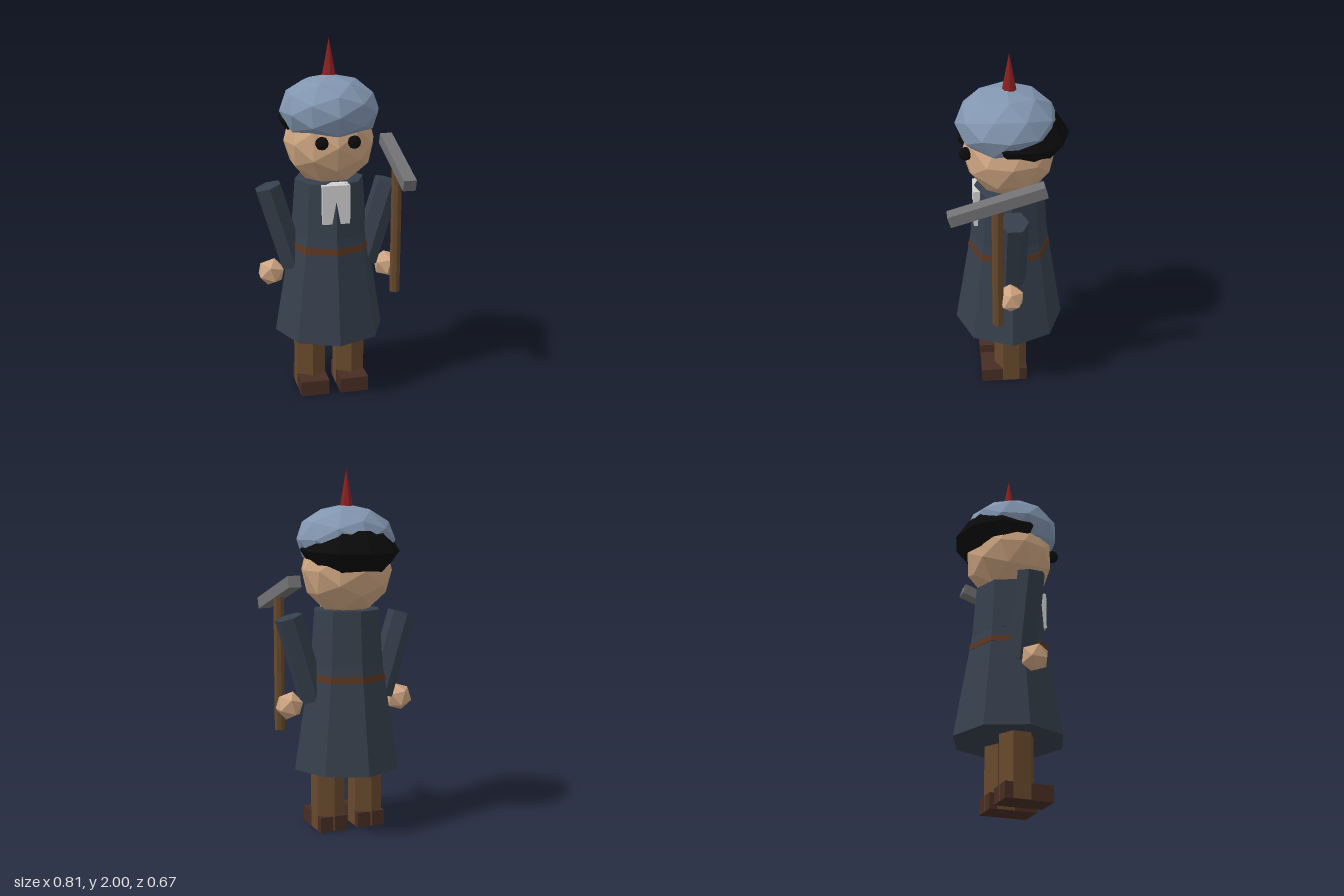
import * as THREE from 'three';

const mat = (name, color) => {
  const m = new THREE.MeshStandardMaterial({ color, flatShading: true });
  m.name = name;
  return m;
};

export function createModel() {
  const skin = mat('skin', 0xcfa682);
  const felt = mat('blue felt', 0x8296b0);
  const cloth = mat('dark coat cloth', 0x363f4c);
  const brown = mat('brown', 0x67492c);
  const leather = mat('shoe leather', 0x472d23);
  const strap = mat('belt leather', 0x59351f);
  const steel = mat('steel', 0x727274);
  const linen = mat('linen', 0xd0d0d0);
  const red = mat('red', 0x8c2020);
  const black = mat('black', 0x0b0b0b);

  const model = new THREE.Group();
  const Z = -0.012; // body axis

  const add = (name, geometry, material, x, y, z) => {
    const mesh = new THREE.Mesh(geometry, material);
    mesh.name = name;
    mesh.position.set(x, y, z);
    model.add(mesh);
    return mesh;
  };
  // Prism or cone frustum standing between two heights
  const column = (name, rTop, rBottom, y0, y1, sides, material, x = 0, z = Z) =>
    add(name, new THREE.CylinderGeometry(rTop, rBottom, y1 - y0, sides), material, x, (y0 + y1) / 2, z);

  // Coat and belt
  column('coatSkirt', 0.212, 0.31, 0.355, 0.955, 8, cloth);
  column('coatTop', 0.192, 0.215, 0.94, 1.24, 8, cloth);
  column('belt', 0.225, 0.232, 0.852, 0.887, 8, strap);

  // Neckcloth, parted by the front edge of the coat
  add('neckcloth', new THREE.BoxGeometry(0.152, 0.215, 0.08), linen, 0, 1.1325, 0.147);

  // Legs, shoes, arms and hands
  for (const side of [-1, 1]) {
    const label = side > 0 ? 'left' : 'right';
    column(label + 'Leg', 0.095, 0.095, 0.002, 0.42, 6, brown, side * 0.114);
    add(label + 'Shoe', new THREE.BoxGeometry(0.162, 0.086, 0.265), leather, side * 0.114, 0.043, 0.028);

    const arm = add(label + 'Arm', new THREE.CylinderGeometry(0.078, 0.078, 0.48, 6), cloth, side * 0.272, 0.976, Z);
    arm.rotation.z = -side * 0.295;
    const hand = add(label + 'Hand', new THREE.IcosahedronGeometry(0.08, 0), skin, side * 0.334, 0.715, 0.006);
    hand.rotation.z = -side * 0.3;

    // Eye
    add(label + 'Eye', new THREE.IcosahedronGeometry(0.036, 1), black, side * 0.087, 1.482, 0.223);
  }

  // Head, cap and spike
  add('head', new THREE.IcosahedronGeometry(0.252, 1), skin, 0, 1.455, Z);
  const cap = add('cap', new THREE.IcosahedronGeometry(0.275, 1), felt, 0, 1.62, 0);
  cap.scale.y = 0.7;
  column('capSpike', 0, 0.038, 1.8, 2, 8, red);

  // Hair: a flattened ball behind the head
  const ball = new THREE.SphereGeometry(0.274, 10, 4);
  ball.rotateY(Math.PI / 2);
  ball.scale(1, 0.6, 1);
  const hair = add('hair', ball, black, 0, 1.562, -0.06);
  hair.rotation.x = -0.05;

  // Pick: upright handle and slanted head
  column('pickHandle', 0.03, 0.03, 0.57, 1.33, 8, brown, 0.365, 0.077);
  const pick = add('pickHead', new THREE.BoxGeometry(0.07, 0.063, 0.52), steel, 0.365, 1.332, 0.077);
  pick.rotation.x = 0.3;

  return model;
}
